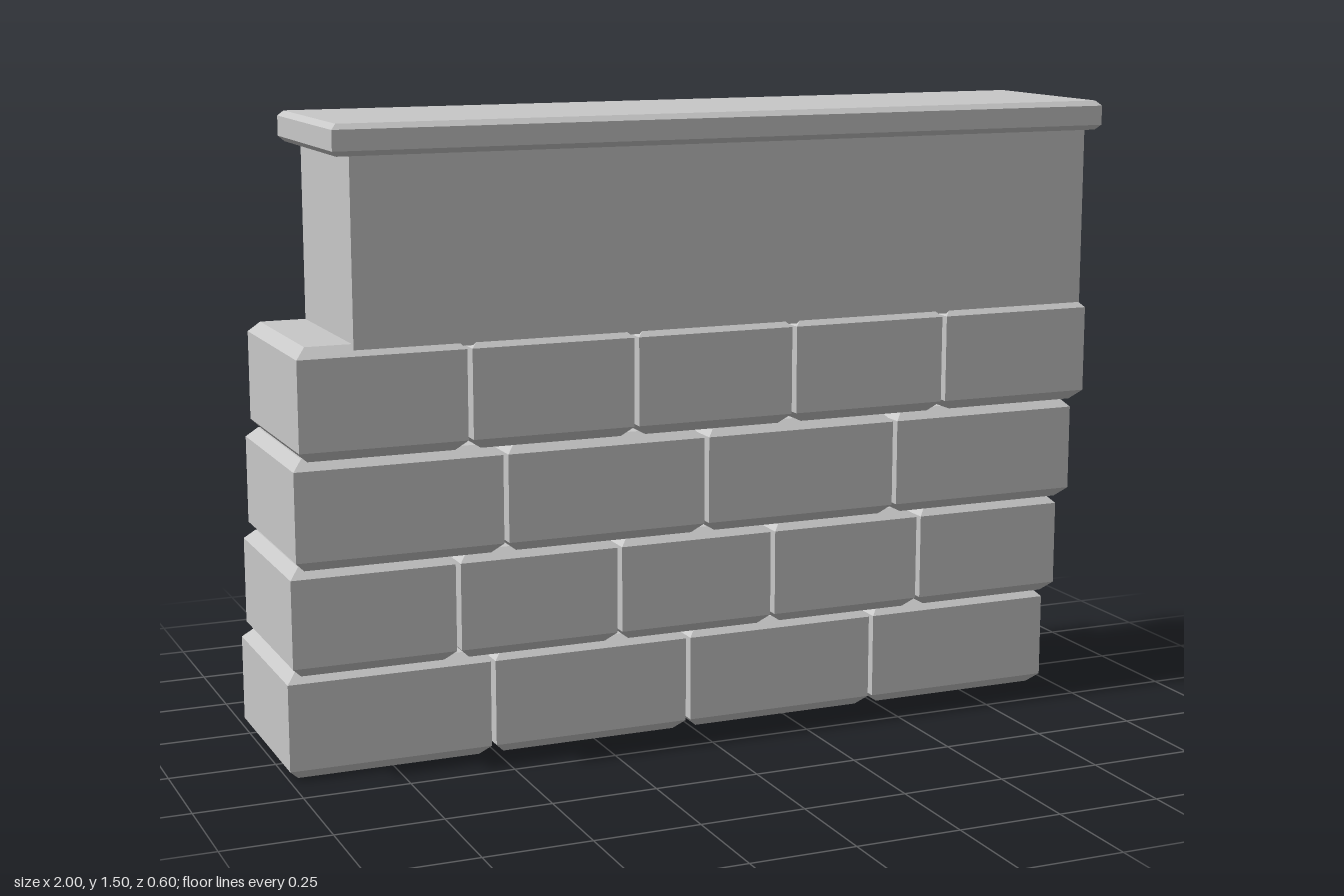
import * as THREE from 'three';

const stone = new THREE.MeshStandardMaterial({ color: 0xc8c8c8 });
stone.name = 'grey stone';

// Block whose top and bottom edges are chamfered; the upright edges stay sharp
function chamferedBlock(w, h, d, c) {
  const box = new THREE.BoxGeometry(w, h, d, 1, 3, 1);
  const p = box.attributes.position;
  for (let i = 0; i < p.count; i++) {
    const y = p.getY(i);
    if (Math.abs(y) < h / 4) {
      p.setY(i, Math.sign(y) * (h / 2 - c));
    } else {
      p.setX(i, p.getX(i) - Math.sign(p.getX(i)) * c);
      p.setZ(i, p.getZ(i) - Math.sign(p.getZ(i)) * c);
    }
  }
  const flat = box.toNonIndexed();
  flat.computeVertexNormals();
  return flat;
}

// Low-poly rod along z
function rod(radius, length, sides) {
  const g = new THREE.CylinderGeometry(radius, radius, length, sides).toNonIndexed();
  g.rotateY(Math.PI / 2);
  g.rotateX(Math.PI / 2);
  g.computeVertexNormals();
  return g;
}

export function createModel() {
  const model = new THREE.Group();
  model.name = 'retainingWall';
  const add = (name, geometry, x, y, z, parent = model) => {
    const mesh = new THREE.Mesh(geometry, stone);
    mesh.name = name;
    mesh.position.set(x, y, z);
    parent.add(mesh);
    return mesh;
  };

  // Four courses of bricks, each stepping forward of the one below
  const left = -1, right = 0.97, gap = 0.012;
  const height = 0.253, pitch = 0.2567, depth = 0.437;
  for (let row = 0; row < 4; row++) {
    const course = new THREE.Group();
    course.name = `brickCourse${row + 1}`;
    model.add(course);
    const count = row % 2 ? 5 : 4;
    const width = (right - left - gap * (count - 1)) / count;
    const brick = chamferedBlock(width, height, depth, 0.024);
    for (let i = 0; i < count; i++) {
      add('brick', brick, left + width / 2 + i * (width + gap),
        height / 2 + row * pitch, -0.0815 + row * 0.0543, course);
    }
  }

  // Parapet and coping slab
  add('parapet', new THREE.BoxGeometry(1.83, 0.43, 0.4), 0.045, 1.22, 0.088);
  add('copingSlab', chamferedBlock(1.91, 0.07, 0.46, 0.012), 0.045, 1.465, 0.07);

  // Anchor plates with hexagonal bolts on the back
  for (const x of [-0.585, 0.63]) {
    add('anchorPlate', new THREE.BoxGeometry(0.22, 0.22, 0.04), x, 1.16, -0.12);
    add('anchorBolt', rod(0.035, 0.07, 6), x, 1.16, -0.155);
  }

  // Drain pipe, tilted down towards the back
  const pipe = add('drainPipe', rod(0.046, 0.16, 8), -0.283, 0.924, -0.136);
  pipe.rotation.x = -0.14;
  return model;
}
